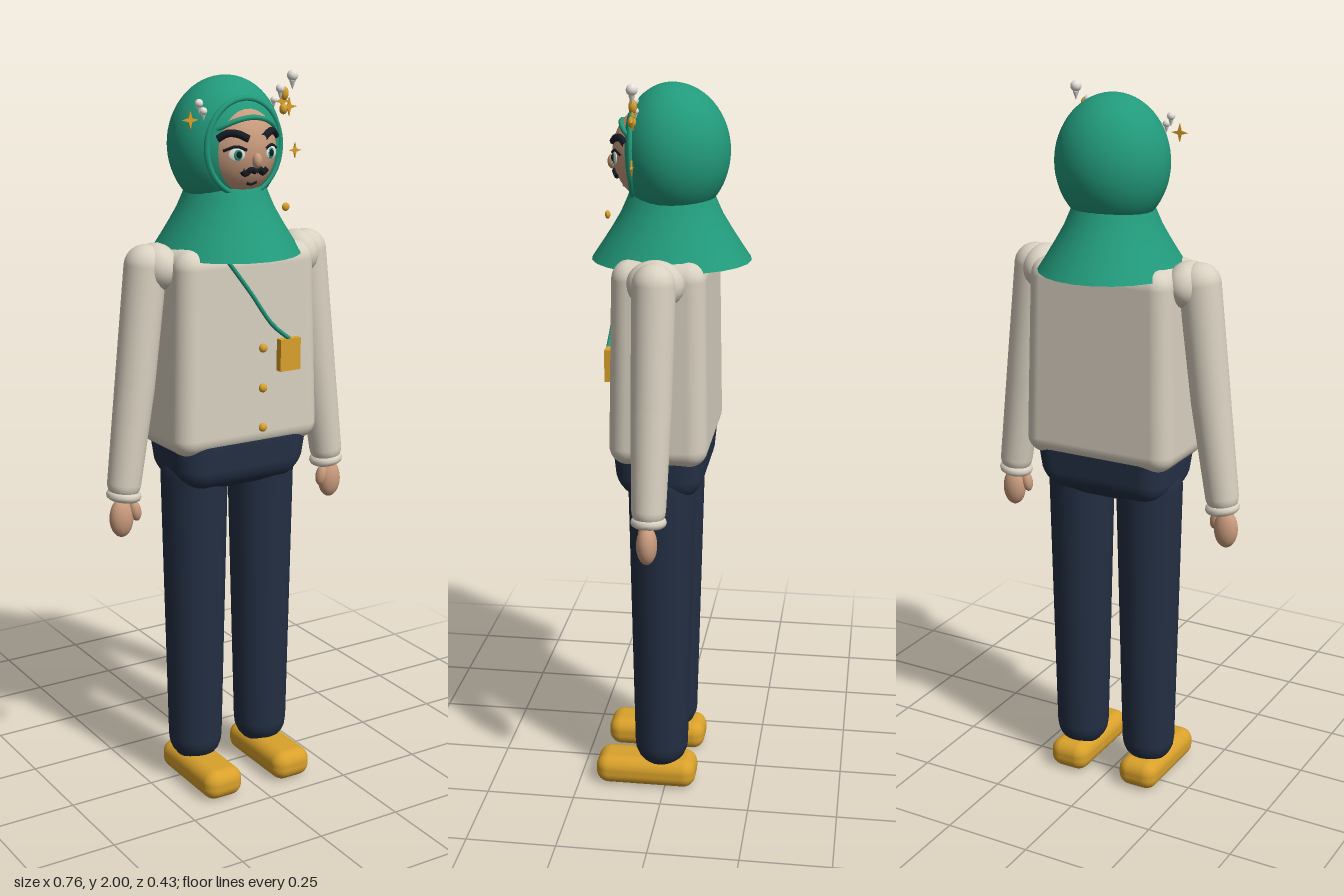
import * as THREE from 'three';
import { RoundedBoxGeometry } from 'three/addons/geometries/RoundedBoxGeometry.js';

const V = (x, y, z) => new THREE.Vector3(x, y, z);
const mat = (name, color, side = THREE.FrontSide) => {
  const m = new THREE.MeshStandardMaterial({ color, side });
  m.name = name;
  return m;
};

export function createModel() {
  const green = mat('green cloth', 0x229a7b, THREE.DoubleSide);
  const cream = mat('cream cloth', 0xd9d1c1);
  const navy = mat('navy cloth', 0x232f43);
  const gold = mat('gold', 0xd9a12b);
  const skin = mat('skin', 0xc99b7d);
  const black = mat('black hair', 0x171b24);
  const white = mat('pearl white', 0xeeeae4);

  const root = new THREE.Group();
  root.name = 'figure';
  const add = (name, geo, m, parent = root) => {
    const mesh = new THREE.Mesh(geo, m);
    mesh.name = name;
    parent.add(mesh);
    return mesh;
  };
  const ball = (name, m, p, rx, ry = rx, rz = rx, parent = root, seg = 20) => {
    const mesh = add(name, new THREE.SphereGeometry(1, seg, Math.ceil(seg * 0.7)), m, parent);
    mesh.position.copy(p);
    mesh.scale.set(rx, ry, rz);
    return mesh;
  };
  const tube = (name, m, pts, r, parent = root, closed = false) =>
    add(name, new THREE.TubeGeometry(new THREE.CatmullRomCurve3(pts, closed), pts.length * 3, r, 8, closed), m, parent);

  // Tapered limb with round ends, from point a (radius ra) down to b (radius rb)
  const limb = (name, m, a, b, ra, rb, parent = root) => {
    const len = a.distanceTo(b), pts = [];
    for (let i = 0; i <= 6; i++) {
      const t = (i / 6 - 1) * Math.PI / 2;
      pts.push(new THREE.Vector2(rb * Math.cos(t), rb * Math.sin(t)));
    }
    for (let i = 0; i <= 6; i++) {
      const t = i / 6 * Math.PI / 2;
      pts.push(new THREE.Vector2(ra * Math.cos(t), len + ra * Math.sin(t)));
    }
    pts[0].x = pts[13].x = 0;
    const mesh = add(name, new THREE.LatheGeometry(pts, 24), m, parent);
    mesh.position.copy(b);
    mesh.quaternion.setFromUnitVectors(V(0, 1, 0), a.clone().sub(b).normalize());
    return mesh;
  };

  // Rounded box whose width and depth change towards one end
  const block = (name, m, size, pos, r, taper = () => 1, parent = root) => {
    const geo = new RoundedBoxGeometry(...size, 5, r);
    const p = geo.attributes.position;
    for (let i = 0; i < p.count; i++) {
      const k = taper(p.getY(i) / size[1] + 0.5);
      p.setXYZ(i, p.getX(i) * k, p.getY(i), p.getZ(i) * k);
    }
    add(name, geo, m, parent).position.copy(pos);
  };

  // Torso and hips
  block('jacket', cream, [0.45, 0.555, 0.265], V(0, 1.275, 0.012), 0.05, t => 1 - 0.1 * Math.max(0, t - 0.3));
  block('hips', navy, [0.41, 0.2, 0.25], V(0, 0.983, 0.014), 0.07, t => Math.min(1, 0.86 + 0.28 * t));

  // Legs, shoes, arms and hands
  for (const s of [1, -1]) {
    const side = s > 0 ? 'left' : 'right';
    const leg = new THREE.Group();
    leg.name = side + 'Leg';
    root.add(leg);
    limb('trouserLeg', navy, V(s * 0.108, 0.92, 0.012), V(s * 0.11, 0.13, 0.014), 0.093, 0.076, leg);
    block('shoe', gold, [0.12, 0.085, 0.288], V(s * 0.114, 0.0425, 0.057), 0.036, () => 1, leg);

    const arm = new THREE.Group();
    arm.name = side + 'Arm';
    root.add(arm);
    ball('shoulder', cream, V(s * 0.22, 1.502, 0.012), 0.056, 0.064, 0.076, arm);
    limb('upperSleeve', cream, V(s * 0.252, 1.508, 0.012), V(s * 0.29, 1.19, 0.014), 0.057, 0.054, arm);
    limb('forearmSleeve', cream, V(s * 0.29, 1.19, 0.014), V(s * 0.328, 0.925, 0.016), 0.054, 0.046, arm);
    const cuff = add('cuff', new THREE.TorusGeometry(0.034, 0.014, 10, 24), cream, arm);
    cuff.position.set(s * 0.33, 0.892, 0.016);
    cuff.rotation.set(Math.PI / 2, s * 0.14, 0);
    ball('hand', skin, V(s * 0.34, 0.83, 0.02), 0.034, 0.054, 0.028, arm);
    ball('thumb', skin, V(s * 0.304, 0.848, 0.032), 0.016, 0.03, 0.016, arm).rotation.z = s * -0.2;
  }

  // Hood, flatter at the front, and the cape below it
  const HY = 1.81;
  const hoodGeo = new THREE.SphereGeometry(1, 48, 32);
  const hp = hoodGeo.attributes.position;
  for (let i = 0; i < hp.count; i++) {
    const z = hp.getZ(i);
    hp.setXYZ(i, hp.getX(i) * 0.155, hp.getY(i) * 0.178, z * (z > 0 ? 0.135 : 0.155));
  }
  hoodGeo.computeVertexNormals();
  add('hood', hoodGeo, green).position.y = HY;
  const profile = [[0.215, 1.525], [0.188, 1.565], [0.162, 1.605], [0.138, 1.645], [0.122, 1.68], [0.11, 1.71]];
  const cape = add('cape', new THREE.LatheGeometry(profile.map(p => new THREE.Vector2(...p)), 24), green);
  cape.scale.x = 0.93;

  // Face: features sit on the ellipsoid surface
  const head = new THREE.Group();
  head.name = 'head';
  root.add(head);
  const FY = 1.805;
  ball('face', skin, V(0, FY, 0.02), 0.118, 0.14, 0.137, head, 48);
  const onFace = (x, y, lift = 0) =>
    V(x, y, 0.02 + lift + 0.137 * Math.sqrt(Math.max(0, 1 - (x / 0.118) ** 2 - ((y - FY) / 0.14) ** 2)));
  const onHood = (x, y) =>
    V(x, y, 0.135 * Math.sqrt(Math.max(0, 1 - (x / 0.155) ** 2 - ((y - HY) / 0.178) ** 2)));

  const rim = [];
  for (let i = 0; i < 28; i++) {
    const a = i / 28 * Math.PI * 2;
    rim.push(onHood(0.112 * Math.cos(a), HY + 0.124 * Math.sin(a)));
  }
  tube('hoodRim', green, rim, 0.008, head, true);
  tube('underscarfBand', green, [-0.1, -0.075, -0.04, 0, 0.04, 0.075, 0.1].map(x =>
    onFace(x, 1.888 - 4 * x * x, 0.002)), 0.007, head);

  ball('nose', skin, onFace(0, 1.78, 0.003), 0.013, 0.02, 0.014, head);
  for (const s of [1, -1]) {
    const put = (name, m, x, y, rx, ry, lift) => {
      const p = onFace(s * x, y, lift);
      const mesh = ball(name, m, p, rx, ry, 0.004, head);
      mesh.rotation.y = s * x * 7;
      return mesh;
    };
    put('eyeWhite', white, 0.052, 1.797, 0.022, 0.017, 0);
    put('iris', green, 0.05, 1.796, 0.012, 0.014, 0.002);
    put('pupil', black, 0.049, 1.797, 0.007, 0.009, 0.005);
    tube('lashes', black, [onFace(s * 0.028, 1.808), onFace(s * 0.052, 1.817), onFace(s * 0.08, 1.806)], 0.004, head);
    const brow = [[0.022, 1.836], [0.045, 1.848], [0.068, 1.85], [0.088, 1.836]];
    tube('eyebrow', black, brow.map(([x, y]) => onFace(s * x, y, 0.001)), 0.01, head);
    tube('moustache', black, [[0, 1.752], [0.014, 1.757], [0.026, 1.746], [0.038, 1.757]].map(([x, y]) =>
      onFace(s * x, y, 0.002)), 0.008, head);
  }
  tube('mouth', black, [onFace(-0.016, 1.722), onFace(0, 1.717), onFace(0.016, 1.722)], 0.004, head);

  // Hood ornaments: thin four-pointed stars and pearls on small stems
  const ornaments = new THREE.Group();
  ornaments.name = 'ornaments';
  root.add(ornaments);
  const star = (x, y, r) => {
    const pts = [];
    for (let i = 0; i < 8; i++) {
      const a = i * Math.PI / 4, q = i % 2 ? r * 0.3 : r;
      pts.push(new THREE.Vector2(q * Math.cos(a), q * Math.sin(a)));
    }
    add('star', new THREE.ExtrudeGeometry(new THREE.Shape(pts), { depth: 0.004, bevelEnabled: false }), gold, ornaments)
      .position.set(x, y, 0.078);
  };
  star(-0.153, 1.884, 0.024);
  star(0.148, 1.905, 0.024);
  star(0.168, 1.79, 0.02);
  star(0.127, 1.92, 0.024);
  for (const [x, y, r] of [[0.158, 1.985, 0.015], [0.12, 1.953, 0.012], [-0.127, 1.925, 0.011], [-0.114, 1.905, 0.01], [0.1, 1.925, 0.009]]) {
    ball('pearl', white, V(x, y, 0.08), r, r, r, ornaments, 14);
    const cup = add('pearlCup', new THREE.ConeGeometry(r * 0.6, r * 1.6, 10), white, ornaments);
    cup.position.set(x, y - r * 1.7, 0.08);
    cup.rotation.x = Math.PI;
  }
  ball('goldBead', gold, V(0.132, 1.94, 0.082), 0.011, 0.018, 0.011, ornaments, 14);
  ball('goldBead', gold, V(0.127, 1.9, 0.085), 0.011, 0.014, 0.011, ornaments, 14);
  ball('brooch', gold, V(0.09, 1.655, 0.157), 0.011, 0.011, 0.007, ornaments, 14);

  // Jacket buttons, strap and pouch
  for (const y of [1.06, 1.17, 1.28]) ball('button', gold, V(0.03, y, 0.146), 0.012, 0.012, 0.01);
  tube('strap', green, [V(-0.085, 1.53, 0.146), V(-0.015, 1.437, 0.152), V(0.053, 1.343, 0.155), V(0.105, 1.3, 0.157)], 0.006);
  add('pouch', new THREE.BoxGeometry(0.064, 0.088, 0.02), gold).position.set(0.107, 1.256, 0.153);

  return root;
}
